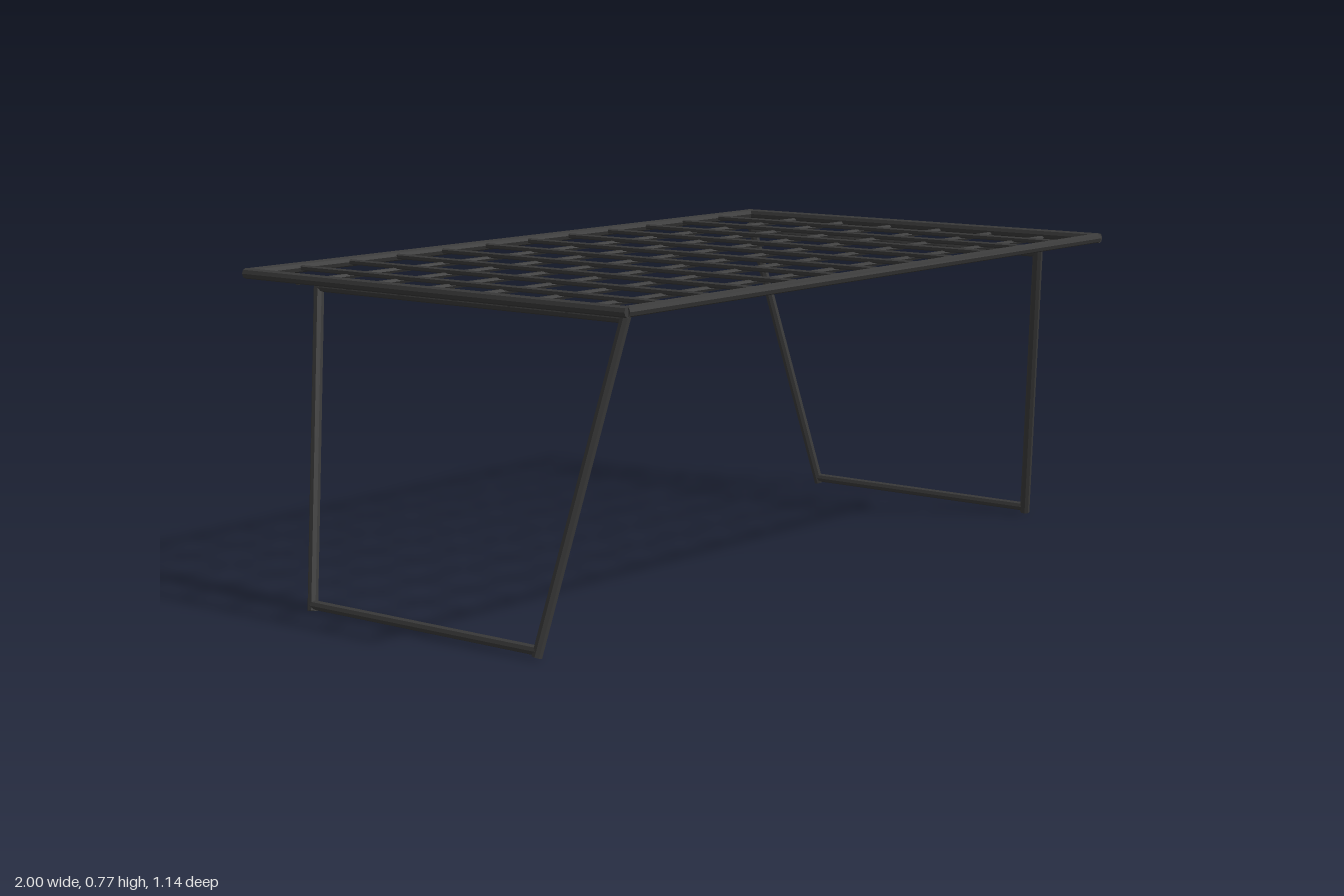
import * as THREE from 'three';

const steel = new THREE.MeshStandardMaterial({ color: 0x3a3a3a, flatShading: true });
steel.name = 'dark steel';

// Straight faceted rod between two points
function rod(parent, name, from, to, radius, sides = 8) {
  const a = new THREE.Vector3(...from), b = new THREE.Vector3(...to);
  const dir = b.clone().sub(a);
  const mesh = new THREE.Mesh(new THREE.CylinderGeometry(radius, radius, dir.length(), sides), steel);
  mesh.name = name;
  mesh.position.copy(a).add(b).multiplyScalar(0.5);
  mesh.quaternion.setFromUnitVectors(new THREE.Vector3(0, 1, 0), dir.normalize());
  parent.add(mesh);
}

export function createModel() {
  const model = new THREE.Group();
  model.name = 'wireRackTable';
  const X = 0.953, Z = 0.56, Y = 0.755, R = 0.0125, W = 0.0065;

  // Rectangular rim
  const rim = new THREE.Group();
  rim.name = 'rim';
  for (const s of [-1, 1]) {
    rod(rim, 'longRail', [-X, Y, s * Z], [X, Y, s * Z], R);
    rod(rim, 'endRail', [s * X, Y, -Z - 0.007], [s * X, Y, Z + 0.007], R);
  }
  model.add(rim);

  // Wire mesh: 12 by 7 cells
  const grid = new THREE.Group();
  grid.name = 'wireGrid';
  for (let i = 1; i < 12; i++) {
    const x = -X + (2 * X * i) / 12;
    rod(grid, 'crossWire', [x, Y, -Z], [x, Y, Z], W, 6);
  }
  for (let i = 1; i < 7; i++) {
    const z = -Z + (2 * Z * i) / 7;
    rod(grid, 'longWire', [-X, Y - 0.009, z], [X, Y - 0.009, z], W, 6);
  }
  model.add(grid);

  // Splayed leg loops, one at each end
  for (const s of [-1, 1]) {
    const legs = new THREE.Group();
    legs.name = s > 0 ? 'leftLegFrame' : 'rightLegFrame';
    for (const t of [-1, 1]) {
      rod(legs, 'leg', [s * 0.825, 0.744, t * 0.461], [s * 0.986, 0.003, t * 0.339], R);
    }
    rod(legs, 'topBar', [s * 0.83, 0.721, -0.455], [s * 0.83, 0.721, 0.455], 0.0115);
    rod(legs, 'footBar', [s * 0.984, 0.017, -0.34], [s * 0.984, 0.017, 0.34], 0.0115);
    model.add(legs);
  }
  return model;
}
